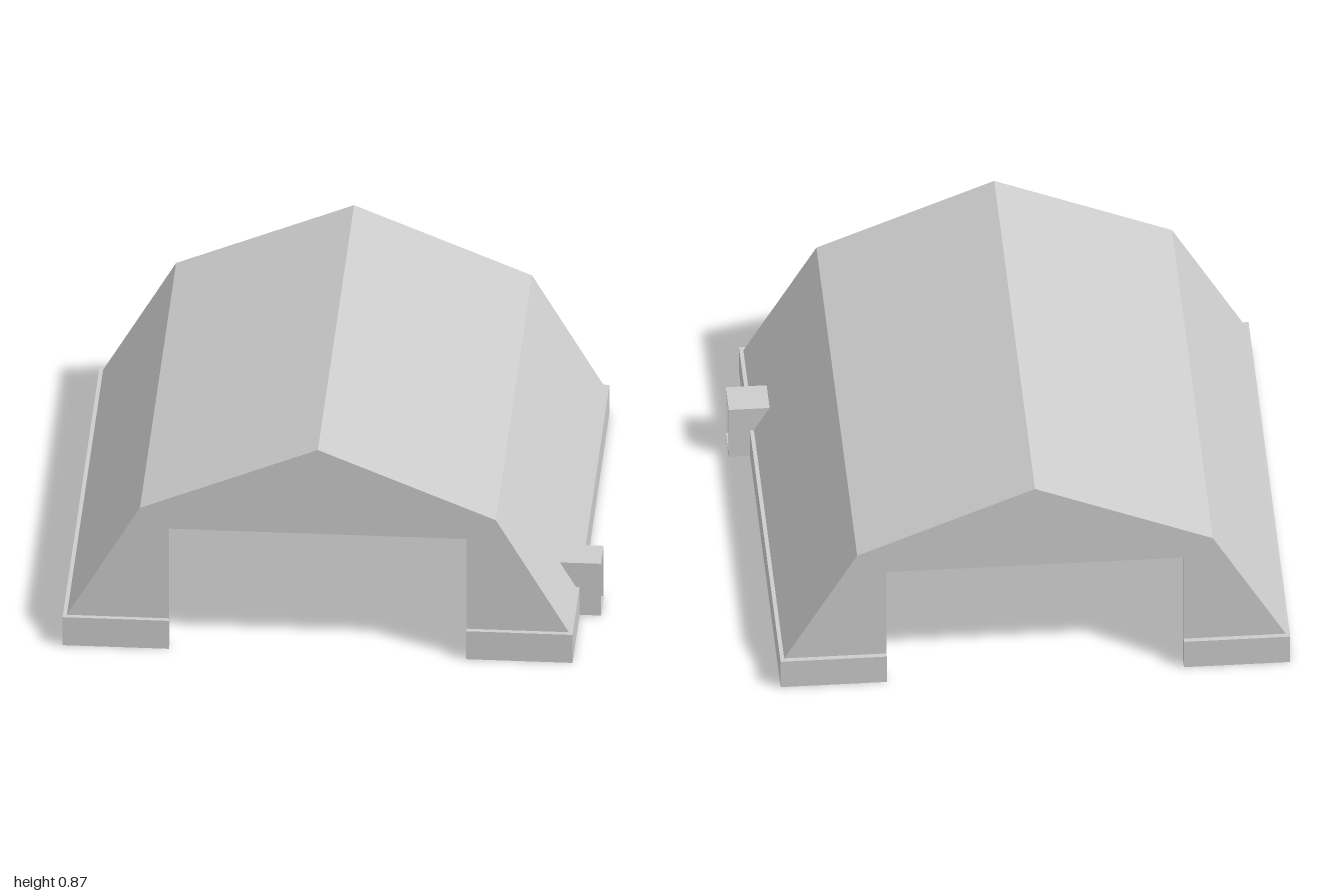
import * as THREE from 'three';

const CX = -0.04;          // ridge line of the shed
const BASE_H = 0.12;       // height of the footings
const WALL_Z = 0.95;       // outer face of the end walls
const INNER_Z = 0.93;      // inner face of the end walls

const shapeOf = (pts) => new THREE.Shape(pts.map(([x, y]) => new THREE.Vector2(x, y)));

export function createModel() {
  const group = new THREE.Group();
  const material = new THREE.MeshStandardMaterial({ color: 0xcccccc, flatShading: true });

  const add = (name, geometry) => {
    const mesh = new THREE.Mesh(geometry, material);
    mesh.name = name;
    group.add(mesh);
    return mesh;
  };
  const extrude = (pts, depth) =>
    new THREE.ExtrudeGeometry(shapeOf(pts), { depth, bevelEnabled: false });

  // Half profiles, from the footing up to the kink, and the ridge height
  const outer = [[0.945, BASE_H], [0.67, 0.59]];
  const inner = [[0.92, BASE_H], [0.653, 0.576]];
  const arch = (half, ridge) => [
    ...half.map(([x, y]) => [CX + x, y]),
    [CX, ridge],
    ...[...half].reverse().map(([x, y]) => [CX - x, y]),
  ];
  const outerArch = arch(outer, 0.865);
  const innerArch = arch(inner, 0.845);

  // Thin hollow roof and sloping side walls
  add('roofShell', extrude([...outerArch, ...innerArch.reverse()], 2 * INNER_Z))
    .position.z = -INNER_Z;

  // End walls with a wide doorway
  const doorway = [[CX - 0.56, BASE_H], [CX - 0.56, 0.505], [CX + 0.56, 0.505], [CX + 0.56, BASE_H]];
  for (const [name, z] of [['frontWall', INNER_Z], ['backWall', -WALL_Z]]) {
    add(name, extrude([...outerArch, ...doorway], WALL_Z - INNER_Z)).position.z = z;
  }

  // C-shaped footings that turn in to the doorway at both ends
  for (const side of [1, -1]) {
    const plan = [
      [0.56, 0.97], [0.56, 0.93], [0.92, 0.93], [0.92, -0.93],
      [0.56, -0.93], [0.56, -0.97], [0.96, -0.97], [0.96, 0.97],
    ].map(([x, z]) => [CX + side * x, z]);
    const geometry = extrude(plan, BASE_H).rotateX(-Math.PI / 2);
    add(side > 0 ? 'leftFooting' : 'rightFooting', geometry);
  }

  // Small side entrance: body against the sloping wall, then a door frame
  const entrance = new THREE.Group();
  entrance.name = 'sideEntrance';
  const body = new THREE.Mesh(
    extrude([[0.9, 0], [0.97, 0], [0.97, 0.222], [0.846, 0.222], [0.9, 0.13]], 0.14), material);
  body.name = 'entranceBody';
  body.position.z = 0.457;
  const frameShape = shapeOf([[-0.07, 0], [0.07, 0], [0.07, 0.222], [-0.07, 0.222]]);
  frameShape.holes.push(new THREE.Path(
    [[-0.06, 0.012], [-0.06, 0.208], [0.06, 0.208], [0.06, 0.012]].map(([x, y]) => new THREE.Vector2(x, y))));
  const frame = new THREE.Mesh(
    new THREE.ExtrudeGeometry(frameShape, { depth: 0.03, bevelEnabled: false }), material);
  frame.name = 'entranceFrame';
  frame.rotation.y = Math.PI / 2;
  frame.position.set(0.97, 0, 0.527);
  entrance.add(body, frame);
  group.add(entrance);

  return group;
}
